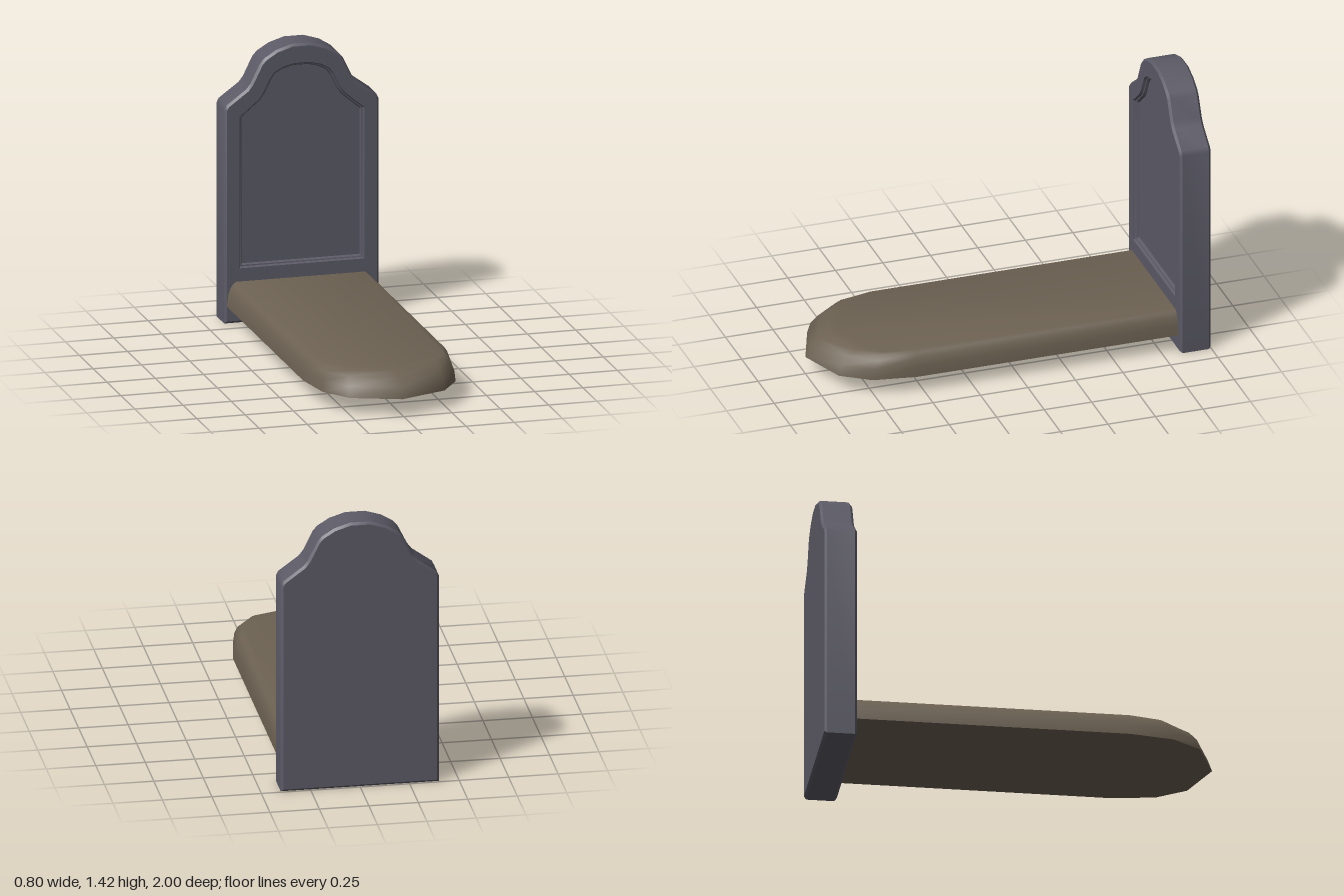
import * as THREE from 'three';
import { toCreasedNormals } from 'three/addons/utils/BufferGeometryUtils.js';

const V2 = (x, y) => new THREE.Vector2(x, y);
const V3 = (x, y, z) => new THREE.Vector3(x, y, z);

// Full counter-clockwise outline from its right half (listed bottom to top)
function mirrored(half) {
  const right = half.map(([x, y]) => V2(x, y));
  const left = right.filter((p) => p.x > 0).map((p) => V2(-p.x, p.y)).reverse();
  return [...right, ...left];
}

// Outline moved inwards by d, with mitred corners
function inset(points, d) {
  const n = points.length;
  return points.map((p, i) => {
    const a = p.clone().sub(points[(i + n - 1) % n]).normalize();
    const b = points[(i + 1) % n].clone().sub(p).normalize();
    const na = V2(-a.y, a.x), nb = V2(-b.y, b.x);
    const m = na.clone().add(nb);
    return p.clone().addScaledVector(m, d / (1 + na.dot(nb)));
  });
}

// Walls between successive rings, with optional flat caps
function loft(rings, crease, startCap, endCap) {
  const out = [];
  const tri = (...ps) => ps.forEach((p) => out.push(p.x, p.y, p.z));
  const n = rings[0].length;
  for (let k = 0; k < rings.length - 1; k++) {
    for (let i = 0; i < n; i++) {
      const j = (i + 1) % n;
      const a = rings[k][i], b = rings[k][j], c = rings[k + 1][j], d = rings[k + 1][i];
      tri(a, b, c);
      tri(a, c, d);
    }
  }
  const last = rings[rings.length - 1];
  if (startCap) {
    for (const [a, b, c] of THREE.ShapeUtils.triangulateShape(startCap, [])) tri(rings[0][a], rings[0][c], rings[0][b]);
  }
  if (endCap) {
    for (const [a, b, c] of THREE.ShapeUtils.triangulateShape(endCap, [])) tri(last[a], last[b], last[c]);
  }
  const g = new THREE.BufferGeometry();
  g.setAttribute('position', new THREE.Float32BufferAttribute(out, 3));
  return toCreasedNormals(g, crease);
}

export function createModel() {
  const stone = new THREE.MeshStandardMaterial({ color: 0x5b5a66 });
  stone.name = 'slate stone';
  const earth = new THREE.MeshStandardMaterial({ color: 0x6c6152 });
  earth.name = 'brown earth';

  const model = new THREE.Group();
  model.name = 'grave';
  const add = (parent, name, geometry, material) => {
    const mesh = new THREE.Mesh(geometry, material);
    mesh.name = name;
    parent.add(mesh);
    return mesh;
  };

  // Headstone: shouldered slab with chamfered rims
  const headstone = new THREE.Group();
  headstone.name = 'headstone';
  model.add(headstone);
  const back = -1, front = -0.835, bevel = 0.012;
  const outline = mirrored([
    [0.4, 0], [0.4, 1.105], [0.388, 1.13], [0.285, 1.205], [0.262, 1.235],
    [0.213, 1.335], [0.19, 1.36], [0.13, 1.397], [0.05, 1.422],
  ]);
  const rim = inset(outline, bevel);
  const at = (points, z) => points.map((p) => V3(p.x, p.y, z));
  add(headstone, 'slab', loft([
    at(rim, back), at(outline, back + bevel), at(outline, front - bevel), at(rim, front),
  ], 0.5, rim), stone);

  // Front face around the sunken panel
  const panel = mirrored([
    [0.323, 0.283], [0.323, 1.068], [0.225, 1.15], [0.2, 1.185],
    [0.168, 1.25], [0.145, 1.285], [0.1, 1.31], [0.04, 1.325],
  ]);
  const faceShape = new THREE.Shape(rim);
  faceShape.holes.push(new THREE.Path(panel));
  add(headstone, 'frontFrame', new THREE.ShapeGeometry(faceShape).translate(0, 0, front), stone);

  // Stepped recess and its floor
  const floor = inset(panel, 0.018);
  add(headstone, 'sunkenPanel', loft([
    at(panel, front), at(inset(panel, 0.006), front - 0.012),
    at(inset(panel, 0.012), front - 0.014), at(floor, front - 0.027),
  ], 0.5, null, floor), stone);

  // Grave mound: rounded sides, pointed front end, flat underside
  const centre = -0.007, bend = 0.54;
  const plan = mirrored([
    [0, -0.998], [0.245, -0.905], [0.345, -0.76], [0.382, -0.54], [0.382, 0.86],
  ]);
  const levels = [[0.09, 1, 1], [0.145, 0.985, 0.955], [0.185, 0.95, 0.85], [0.206, 0.91, 0.74], [0.215, 0.875, 0.655]];
  const rings = levels.map(([y, sx, sz]) => plan.map((p) => {
    const z = -p.y;
    return V3(centre + p.x * sx, y, z > bend ? bend + (z - bend) * sz : z);
  }));
  const top = rings[rings.length - 1].map((p) => V2(p.x, -p.z));
  add(model, 'mound', loft(rings, 0.9, plan, top), earth);

  return model;
}
